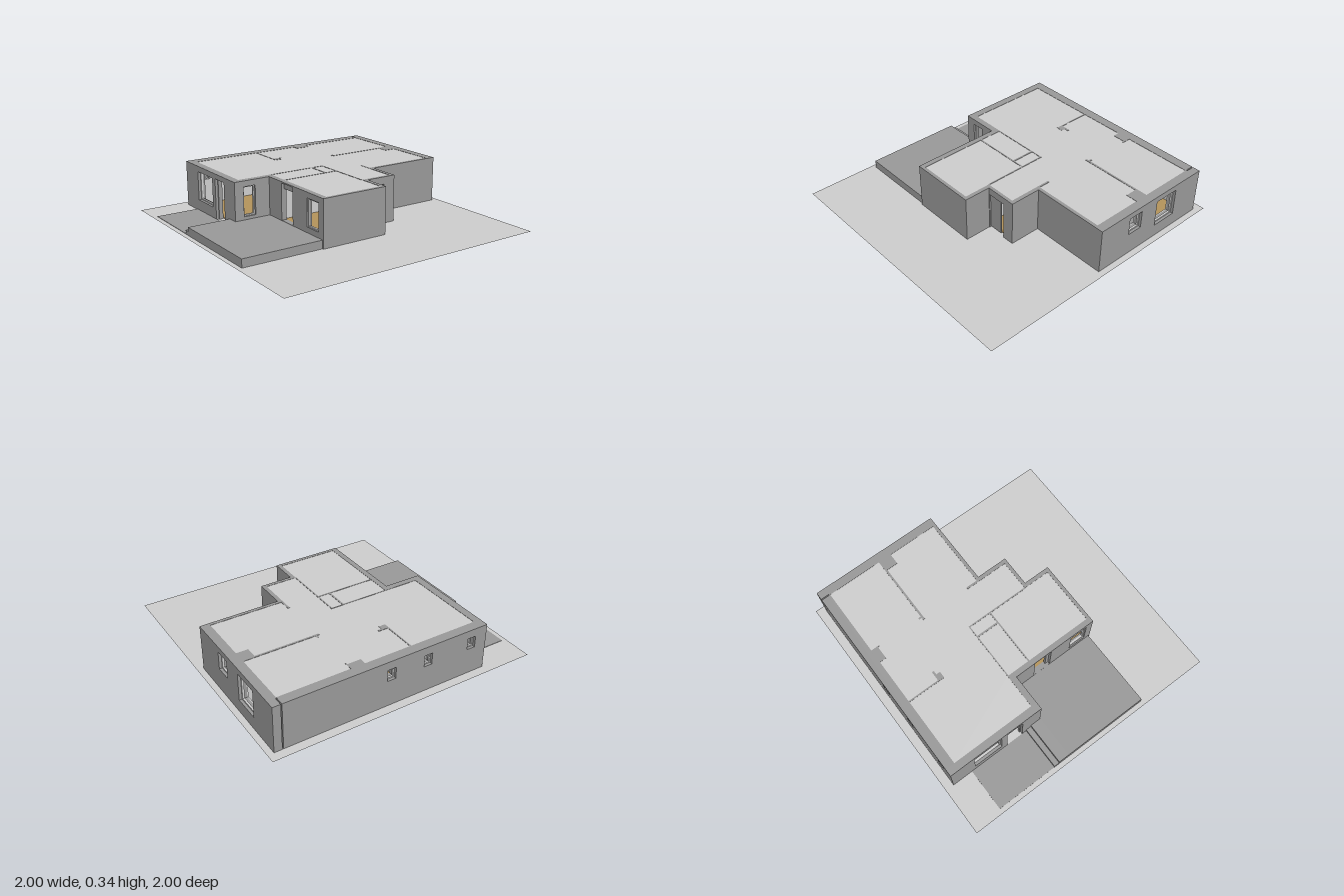
import * as THREE from 'three';

const H = 0.34; // wall height

export function createModel() {
  const model = new THREE.Group();
  const mat = (name, color) => {
    const m = new THREE.MeshStandardMaterial({ color, side: THREE.DoubleSide });
    m.name = name;
    return m;
  };
  const grey = mat('wall grey', 0x989898);
  const light = mat('light plaster', 0xcdcdcd);
  const wood = mat('wood floor', 0xb3935a);

  const add = (name, geo, material) => {
    const mesh = new THREE.Mesh(geo, material);
    mesh.name = name;
    model.add(mesh);
    return mesh;
  };
  // Box given by its limits
  const box = (name, material, x0, x1, y0, y1, z0, z1) => {
    const g = new THREE.BoxGeometry(x1 - x0, y1 - y0, z1 - z0);
    g.translate((x0 + x1) / 2, (y0 + y1) / 2, (z0 + z1) / 2);
    return add(name, g, material);
  };
  // Shape drawn in (run, y), thickened from b0 to b1, running along x or z
  const upright = (name, material, axis, shape, b0, b1) => {
    const g = new THREE.ExtrudeGeometry(shape, { depth: b1 - b0, bevelEnabled: false });
    if (axis === 'x') g.translate(0, 0, b0);
    else g.rotateY(-Math.PI / 2).translate(b1, 0, 0);
    return add(name, g, material);
  };
  const rectPath = (a0, a1, y0, y1, Kind = THREE.Path) => new Kind(
    [[a0, y0], [a1, y0], [a1, y1], [a0, y1]].map(p => new THREE.Vector2(...p)));

  // Wall with openings [a0, a1, y0, y1]; those starting at y = 0 are doorways
  const wall = (name, axis, a0, a1, b0, b1, openings = [], material = grey, top = H) => {
    const pts = [[a0, 0]];
    for (const [d0, d1, y0, y1] of openings)
      if (y0 === 0) pts.push([d0, 0], [d0, y1], [d1, y1], [d1, 0]);
    pts.push([a1, 0], [a1, top], [a0, top]);
    const shape = new THREE.Shape(pts.map(p => new THREE.Vector2(...p)));
    for (const [d0, d1, y0, y1] of openings)
      if (y0 > 0) shape.holes.push(rectPath(d0, d1, y0, y1));
    upright(name, material, axis, shape, b0, b1);
  };
  // Thin window frame inside an opening
  const frame = (axis, [a0, a1, y0, y1], b0, b1, w = 0.009) => {
    const shape = rectPath(a0, a1, y0, y1, THREE.Shape);
    shape.holes.push(rectPath(a0 + w, a1 - w, y0 + w, y1 - w));
    upright('windowFrame', light, axis, shape, b0, b1);
  };
  // Horizontal slab from a plan outline
  const slab = (name, material, plan, y0, y1) => {
    const shape = new THREE.Shape(plan.map(([x, z]) => new THREE.Vector2(x, -z)));
    const g = new THREE.ExtrudeGeometry(shape, { depth: y1 - y0, bevelEnabled: false });
    g.rotateX(-Math.PI / 2).translate(0, y0, 0);
    add(name, g, material);
  };

  // Ground, path, terrace and step
  add('ground', new THREE.PlaneGeometry(2, 2).rotateX(-Math.PI / 2), light);
  box('path', grey, -0.78, -0.31, 0.001, 0.004, 0.645, 0.965);
  box('terraceStep', grey, -0.31, -0.27, 0, 0.03, 0.645, 0.965);
  box('terraceSide', grey, -0.27, -0.19, 0, 0.06, 0.645, 0.965);
  box('terrace', grey, -0.19, 0.465, 0, 0.06, 0.37, 0.965);

  // Inside plan: ceiling and floors
  const plan = [[-0.865, -0.89], [0.015, -0.89], [0.015, -0.345], [0.25, -0.345], [0.25, -0.11],
    [0.45, -0.11], [0.45, 0.33], [-0.235, 0.33], [-0.235, 0.59], [-0.865, 0.59]];
  slab('ceiling', light, plan, 0.332, 0.338);
  slab('floor', wood, plan, 0.002, 0.008);
  box('raisedFloor', wood, -0.05, 0.45, 0.008, 0.062, -0.105, 0.33);

  // Window openings
  const leftWindows = [[-0.148, -0.083, 0.195, 0.28], [0.138, 0.2, 0.195, 0.28], [0.49, 0.554, 0.195, 0.28]];
  const backWindows = [[-0.69, -0.497, 0.095, 0.297], [-0.345, -0.228, 0.165, 0.297]];
  const frontWindow = [-0.745, -0.52, 0.083, 0.298];
  const sideWindow = [0.483, 0.575, 0.083, 0.298];
  const roomWindow = [0.285, 0.42, 0.1, 0.3];

  // Outer walls
  wall('leftWall', 'z', -0.89, 0.59, -0.935, -0.873, leftWindows);
  wall('backWall', 'x', -0.935, 0.04, -0.955, -0.898, backWindows);
  wall('backWingSide', 'z', -0.898, -0.375, 0.015, 0.04);
  wall('hallBack', 'x', 0.015, 0.275, -0.375, -0.345);
  wall('hallSide', 'z', -0.345, -0.14, 0.25, 0.275, [[-0.285, -0.145, 0, 0.287]]);
  wall('roomBack', 'x', 0.25, 0.475, -0.14, -0.11);
  wall('roomSide', 'z', -0.11, 0.33, 0.45, 0.475);
  wall('roomFront', 'x', -0.19, 0.475, 0.33, 0.37, [[-0.03, 0.11, 0.062, 0.33], roomWindow]);
  wall('frontWingSide', 'z', 0.33, 0.59, -0.235, -0.19, [sideWindow]);
  wall('frontWall', 'x', -0.935, -0.19, 0.59, 0.645, [frontWindow, [-0.475, -0.345, 0, 0.303]]);

  // Plaster lining on the thick walls
  wall('leftLining', 'z', -0.898, 0.59, -0.873, -0.865, leftWindows, light, 0.335);
  wall('backLining', 'x', -0.865, 0.015, -0.898, -0.89, backWindows, light, 0.335);
  box('leftWallCap', grey, -0.873, -0.865, 0.335, H, -0.898, 0.59);
  box('backWallCap', grey, -0.865, 0.015, 0.335, H, -0.898, -0.89);

  // Window frames
  leftWindows.forEach(w => frame('z', w, -0.915, -0.9));
  backWindows.forEach(w => frame('x', w, -0.935, -0.92));
  frame('x', frontWindow, 0.61, 0.625);
  frame('z', sideWindow, -0.22, -0.205);
  frame('x', roomWindow, 0.345, 0.36);

  // Terrace door surround, side door leaf, front door posts
  box('terraceDoorLintel', grey, -0.03, 0.11, 0.287, 0.33, 0.332, 0.35);
  box('terraceDoorJamb', grey, 0.085, 0.11, 0.062, 0.287, 0.332, 0.35);
  box('sideDoorLeaf', grey, 0.255, 0.265, 0.008, 0.287, -0.25, -0.145);
  for (const x of [-0.475, -0.353])
    box('frontDoorPost', grey, x, x + 0.008, 0, 0.303, 0.605, 0.625);

  // Partitions [x0, x1, z0, z1] with dark tops showing through the ceiling
  const partitions = [
    [-0.455, -0.44, -0.89, -0.345], [-0.44, -0.355, -0.89, -0.805], [-0.475, -0.455, -0.375, -0.362],
    [-0.865, -0.815, -0.375, -0.27], [-0.815, -0.8, -0.375, -0.367], [-0.075, 0.015, -0.36, -0.345],
    [-0.865, -0.61, 0.07, 0.08], [-0.625, -0.61, 0, 0.07], [-0.61, -0.58, 0.03, 0.08],
    [-0.235, -0.227, -0.115, 0.33], [-0.06, -0.05, -0.105, 0.33],
    [-0.227, 0.25, -0.115, -0.105], [-0.227, -0.06, -0.025, -0.012],
  ];
  for (const [x0, x1, z0, z1] of partitions) {
    box('partition', light, x0, x1, 0, 0.332, z0, z1);
    box('partitionTop', grey, x0, x1, 0.332, H, z0, z1);
  }
  return model;
}
